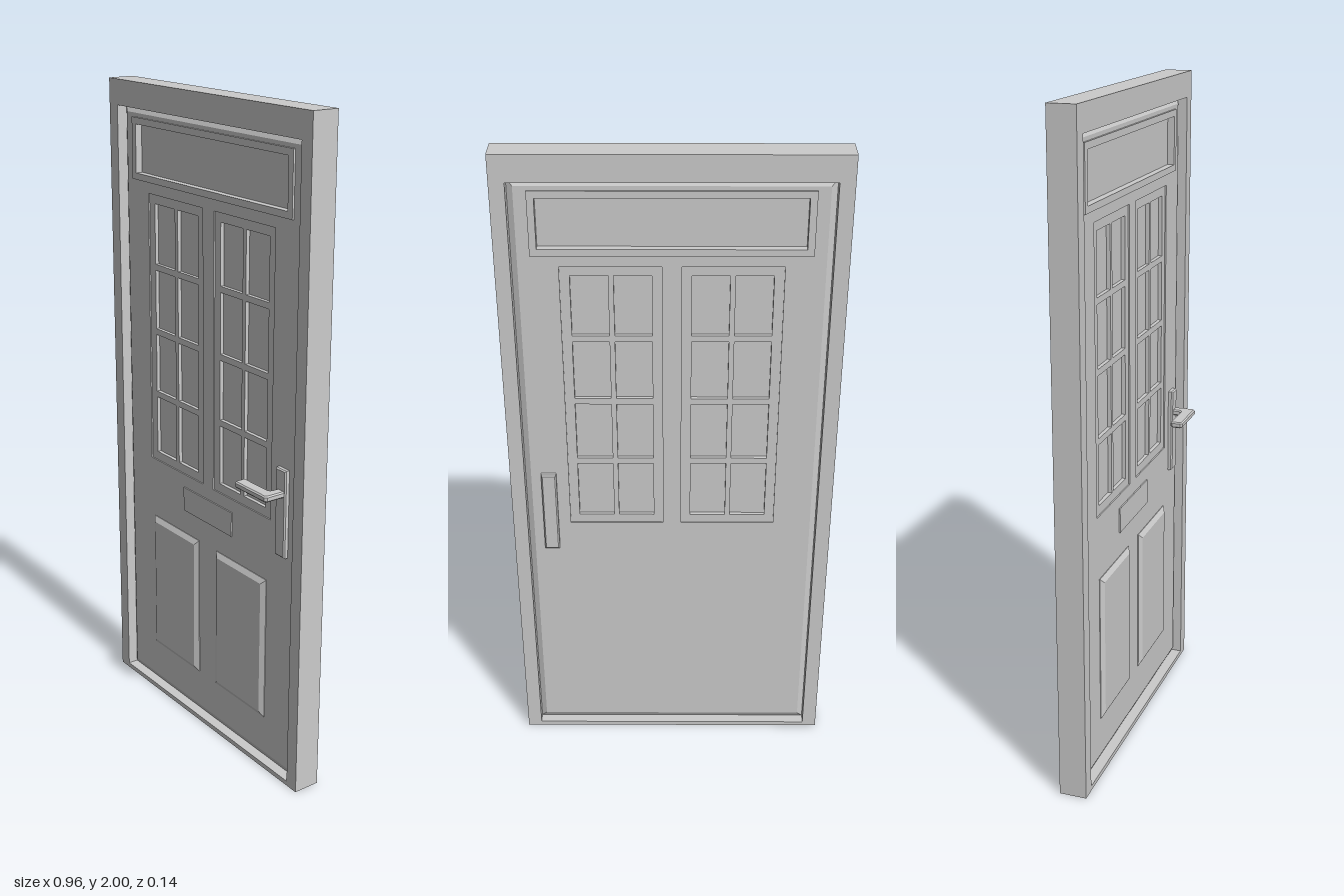
import * as THREE from 'three';

const material = new THREE.MeshStandardMaterial({ color: 0xcccccc, flatShading: true });

// Rectangles are [x0, x1, y0, y1]
const grow = ([x0, x1, y0, y1], d) => [x0 - d, x1 + d, y0 - d, y1 + d];
const corners = ([x0, x1, y0, y1]) => [[x0, y0], [x1, y0], [x1, y1], [x0, y1]];

// Flat slab between two depths with rectangular holes
function slab(rect, holes, z0, z1) {
  const toPoints = (r) => corners(r).map(([x, y]) => new THREE.Vector2(x, y));
  const shape = new THREE.Shape(toPoints(rect));
  holes.forEach((h) => shape.holes.push(new THREE.Path(toPoints(h).reverse())));
  return new THREE.ExtrudeGeometry(shape, { depth: z1 - z0, bevelEnabled: false }).translate(0, 0, z0);
}

// Skin through rectangles stacked along z: sections are [rect, z], from back to front
function loft(sections, capFront = false, capBack = false) {
  const pos = [];
  const rings = sections.map(([r, z]) => corners(r).map(([x, y]) => [x, y, z]));
  const quad = (a, b, c, d) => pos.push(...a, ...b, ...c, ...a, ...c, ...d);
  for (let i = 0; i + 1 < rings.length; i++) {
    for (let k = 0; k < 4; k++) {
      const n = (k + 1) % 4;
      quad(rings[i][k], rings[i][n], rings[i + 1][n], rings[i + 1][k]);
    }
  }
  if (capFront) quad(...rings[rings.length - 1]);
  if (capBack) quad(...rings[0].slice().reverse());
  const g = new THREE.BufferGeometry();
  g.setAttribute('position', new THREE.Float32BufferAttribute(pos, 3));
  g.computeVertexNormals();
  return g;
}

export function createModel() {
  const door = new THREE.Group();
  door.name = 'door';
  const add = (name, geometry) => {
    const mesh = new THREE.Mesh(geometry, material);
    mesh.name = name;
    door.add(mesh);
    return mesh;
  };

  const front = -0.01, back = -0.047, middle = (front + back) / 2;

  // Outer frame
  const opening = [-0.437, 0.437, 0.015, 1.923];
  add('frame', slab([-0.48, 0.48, 0, 2], [opening], -0.07, 0.013));

  // Door leaf with bevelled edges
  const leaf = [-0.42, 0.42, 0.035, 1.905];
  const transom = [-0.365, 0.365, 1.727, 1.873];
  const windows = [[-0.308, -0.027, 0.82, 1.673], [0.027, 0.308, 0.82, 1.673]];
  add('leaf', slab(leaf, [transom, ...windows], back, front));
  add('leafBevel', loft([[leaf, back], [opening, back + 0.01], [opening, front - 0.01], [leaf, front]]));

  // Transom window with raised trim on both sides
  add('transomTrim', slab(grow(transom, 0.02), [transom], back - 0.006, front + 0.006));
  add('transomGlass', slab(grow(transom, 0.003), [], middle - 0.003, middle + 0.003));

  // Two eight-pane windows, set slightly into the leaf
  windows.forEach((w, i) => {
    const side = i ? 'left' : 'right';
    const panes = [];
    for (let row = 0; row < 4; row++) {
      for (let col = 0; col < 2; col++) {
        const x = w[0] + 0.028 + col * 0.12;
        const y = 0.848 + row * 0.204;
        panes.push([x, x + 0.105, y, y + 0.185]);
      }
    }
    add(side + 'WindowGrid', slab(w, panes, back + 0.004, front - 0.004));
    add(side + 'WindowGlass', slab(grow(w, -0.01), [], middle - 0.003, middle + 0.003));
  });

  // Raised lower panels, front only
  for (const [side, x] of [['right', -0.17], ['left', 0.17]]) {
    const r = [x - 0.125, x + 0.125, 0.158, 0.622];
    add(side + 'LowerPanel', loft([[r, front], [r, front + 0.002], [grow(r, -0.016), front + 0.011]], true));
  }

  // Letter plate
  add('letterPlate', loft([[[-0.125, 0.125, 0.7, 0.778], front], [[-0.125, 0.125, 0.7, 0.778], front + 0.004]], true));

  // Handle plates on both faces
  const plate = [0.345, 0.39, 0.73, 1.0];
  const rim = grow(plate, -0.004);
  add('frontHandlePlate', loft([[plate, front], [plate, front + 0.01], [rim, front + 0.014]], true));
  add('backHandlePlate', loft([[rim, back - 0.014], [plate, back - 0.01], [plate, back]], false, true));

  // Bent lever handle, drawn in plan (x, -z) and extruded upwards
  const lever = new THREE.Shape();
  lever.moveTo(0.358, 0.002);
  lever.lineTo(0.358, -0.022);
  lever.quadraticCurveTo(0.357, -0.034, 0.345, -0.035);
  [[0.246, -0.035], [0.242, -0.039], [0.242, -0.062], [0.246, -0.066],
    [0.377, -0.066], [0.381, -0.062], [0.381, 0.002]].forEach(([x, y]) => lever.lineTo(x, y));
  const leverGeometry = new THREE.ExtrudeGeometry(lever, {
    depth: 0.011, bevelThickness: 0.004, bevelSize: 0.004, bevelSegments: 1, curveSegments: 4,
  });
  leverGeometry.rotateX(-Math.PI / 2).translate(0, 0.922, 0);
  // Plan depth is mirrored by the rotation, so -y becomes +z
  add('leverHandle', leverGeometry);

  return door;
}
